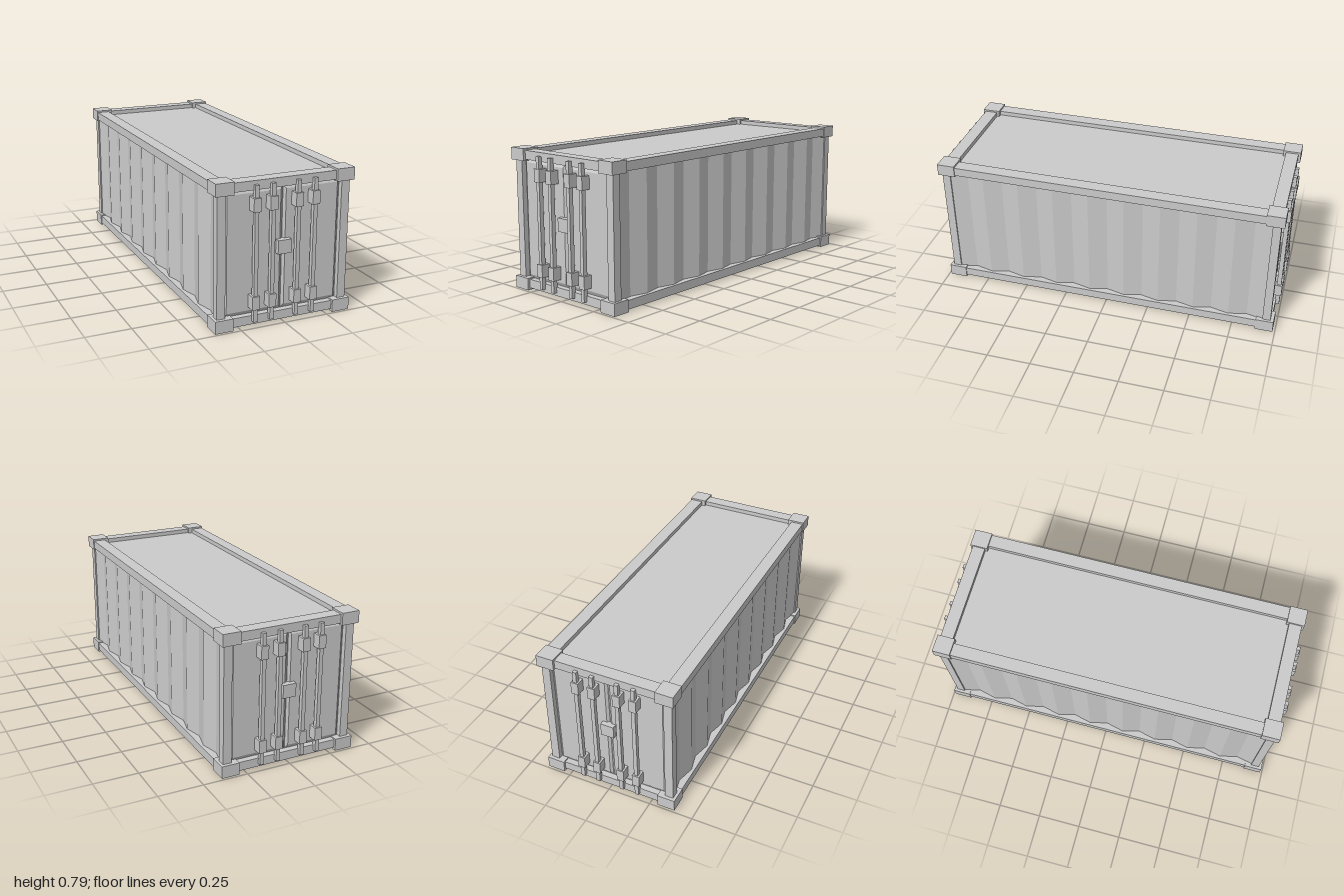
import * as THREE from 'three';

const material = new THREE.MeshStandardMaterial({ color: 0xcccccc, flatShading: true });

// Box given by its min and max on each axis
function box(parent, name, [x0, x1], [y0, y1], [z0, z1]) {
  const mesh = new THREE.Mesh(new THREE.BoxGeometry(x1 - x0, y1 - y0, z1 - z0), material);
  mesh.position.set((x0 + x1) / 2, (y0 + y1) / 2, (z0 + z1) / 2);
  mesh.name = name;
  parent.add(mesh);
  return mesh;
}

// Zigzag wall for the +x side, extruded upward from its plan outline
function corrugatedWall() {
  const outer = 0.37, inner = 0.345, step = 0.1035;
  const shape = new THREE.Shape();
  shape.moveTo(0.325, -9 * step);
  for (let i = 0; i <= 18; i++) shape.lineTo(i % 2 ? inner : outer, (i - 9) * step);
  shape.lineTo(0.325, 9 * step);
  const geometry = new THREE.ExtrudeGeometry(shape, { depth: 0.69, bevelEnabled: false });
  geometry.rotateX(-Math.PI / 2); // shape y becomes -z
  geometry.translate(0, 0.05, 0);
  const mesh = new THREE.Mesh(geometry, material);
  mesh.name = 'corrugatedWall';
  return mesh;
}

// Door leaf with a bevelled, raised face
function doorLeaf(parent, x0, x1) {
  const leaf = box(parent, 'doorLeaf', [x0, x1], [0.06, 0.729], [0.938, 0.949]);
  const p = leaf.geometry.attributes.position;
  for (let i = 0; i < p.count; i++) {
    if (p.getZ(i) < 0) continue;
    p.setX(i, p.getX(i) - Math.sign(p.getX(i)) * 0.015);
    p.setY(i, p.getY(i) - Math.sign(p.getY(i)) * 0.021);
  }
  leaf.geometry.computeVertexNormals();
}

// Doors, lock bars and lock box of one end
function doorEnd() {
  const end = new THREE.Group();
  end.name = 'doorEnd';
  box(end, 'doorBacking', [-0.34, 0.34], [0.04, 0.75], [0.90, 0.939]);
  doorLeaf(end, -0.328, 0);
  doorLeaf(end, 0, 0.328);
  for (const x of [-0.169, -0.076, 0.068, 0.163]) {
    box(end, 'lockBar', [x - 0.011, x + 0.011], [0.029, 0.757], [0.968, 0.993]);
    for (const y of [0.135, 0.656])
      box(end, 'barClamp', [x - 0.021, x + 0.021], [y - 0.036, y + 0.036], [0.948, 1]);
  }
  box(end, 'lockBox', [-0.037, 0.039], [0.371, 0.445], [0.94, 0.976]);
  return end;
}

export function createModel() {
  const model = new THREE.Group();
  model.name = 'shippingContainer';

  // Roof and floor, sunk between the rails
  box(model, 'roof', [-0.33, 0.33], [0.735, 0.752], [-0.92, 0.92]);
  box(model, 'floor', [-0.33, 0.33], [0.032, 0.05], [-0.92, 0.92]);

  // Frame: side rails, end rails, posts and corner castings
  const span = (s, a, b) => (s > 0 ? [a, b] : [-b, -a]);
  for (const s of [-1, 1]) {
    for (const [y, name] of [[[0.012, 0.061], 'bottom'], [[0.728, 0.777], 'top']]) {
      box(model, name + 'SideRail', span(s, 0.313, 0.386), y, [-0.9, 0.9]);
      box(model, name + 'EndRail', [-0.3, 0.3], y, span(s, 0.9, 0.973));
    }
    for (const t of [-1, 1]) {
      box(model, 'cornerPost', span(s, 0.328, 0.375), [0.05, 0.74], span(t, 0.922, 0.968));
      for (const y of [[0, 0.068], [0.72, 0.787]])
        box(model, 'cornerCasting', span(s, 0.29, 0.391), y, span(t, 0.886, 0.987));
    }
  }

  // Side walls, one turned half round
  const wall = corrugatedWall();
  const otherWall = wall.clone();
  otherWall.rotation.y = Math.PI;
  model.add(wall, otherWall);

  // Same door set at both ends
  const front = doorEnd();
  const back = doorEnd();
  back.scale.z = -1;
  model.add(front, back);
  return model;
}
